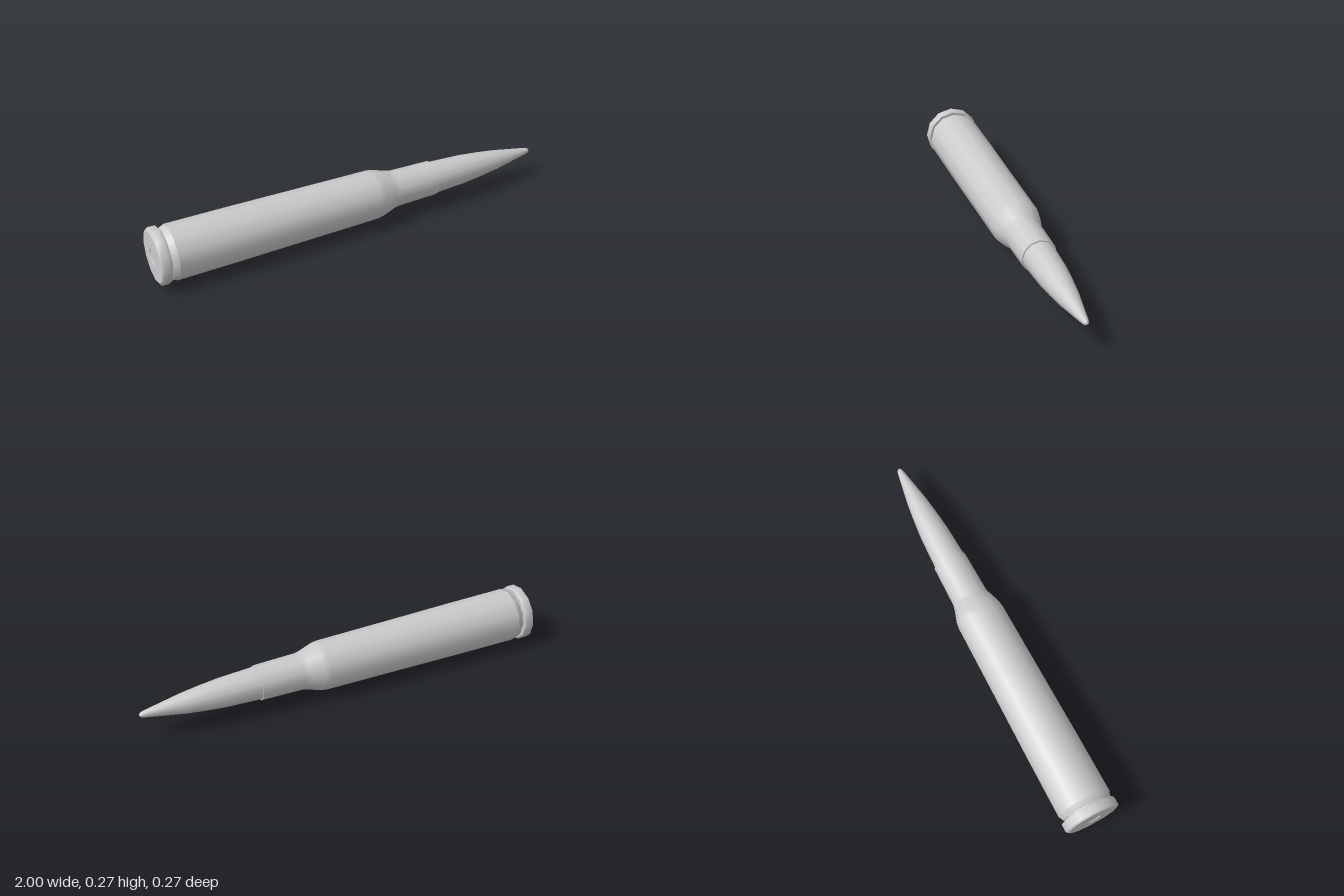
import * as THREE from 'three';
import { mergeGeometries } from 'three/addons/utils/BufferGeometryUtils.js';

const SIDES = 12;
const AXIS_Y = 0.1365;

export function createModel() {
  const group = new THREE.Group();
  const material = new THREE.MeshStandardMaterial({ color: 0xcccccc });

  // Each run is a list of [x, radius]; normals are smooth in a run, sharp between runs
  function turned(name, ...runs) {
    const parts = runs.map((run) =>
      new THREE.LatheGeometry(run.map(([x, r]) => new THREE.Vector2(r, x)), SIDES));
    const geometry = mergeGeometries(parts);
    geometry.rotateZ(-Math.PI / 2);
    const mesh = new THREE.Mesh(geometry, material);
    mesh.name = name;
    mesh.position.y = AXIS_Y;
    group.add(mesh);
  }

  // Primer cap, set just inside the base
  turned('primer', [[-0.996, 0], [-0.996, 0.036]]);

  // Base disc and rim with bevelled edges
  turned('rim',
    [[-0.996, 0.036], [-1, 0.04]],
    [[-1, 0.04], [-1, 0.124]],
    [[-1, 0.124], [-0.992, 0.1365], [-0.957, 0.1365], [-0.95, 0.13]],
    [[-0.95, 0.13], [-0.95, 0.113]]);

  // Extractor groove, tapered body, shoulder, neck and mouth
  turned('case',
    [[-0.95, 0.113], [-0.942, 0.113]],
    [[-0.942, 0.113], [-0.942, 0.121], [-0.915, 0.132]],
    [[-0.915, 0.132], [-0.6, 0.1295], [-0.25, 0.1245], [0.1, 0.12],
      [0.13, 0.116], [0.19, 0.096], [0.22, 0.089], [0.43, 0.0845]],
    [[0.43, 0.0845], [0.43, 0.078]]);

  // Pointed bullet with a small rounded tip
  turned('bullet', [[0.4, 0.079], [0.43, 0.079], [0.6, 0.071], [0.7, 0.061],
    [0.8, 0.048], [0.9, 0.03], [0.975, 0.0165], [0.99, 0.012], [0.998, 0.005], [1, 0]]);

  return group;
}
